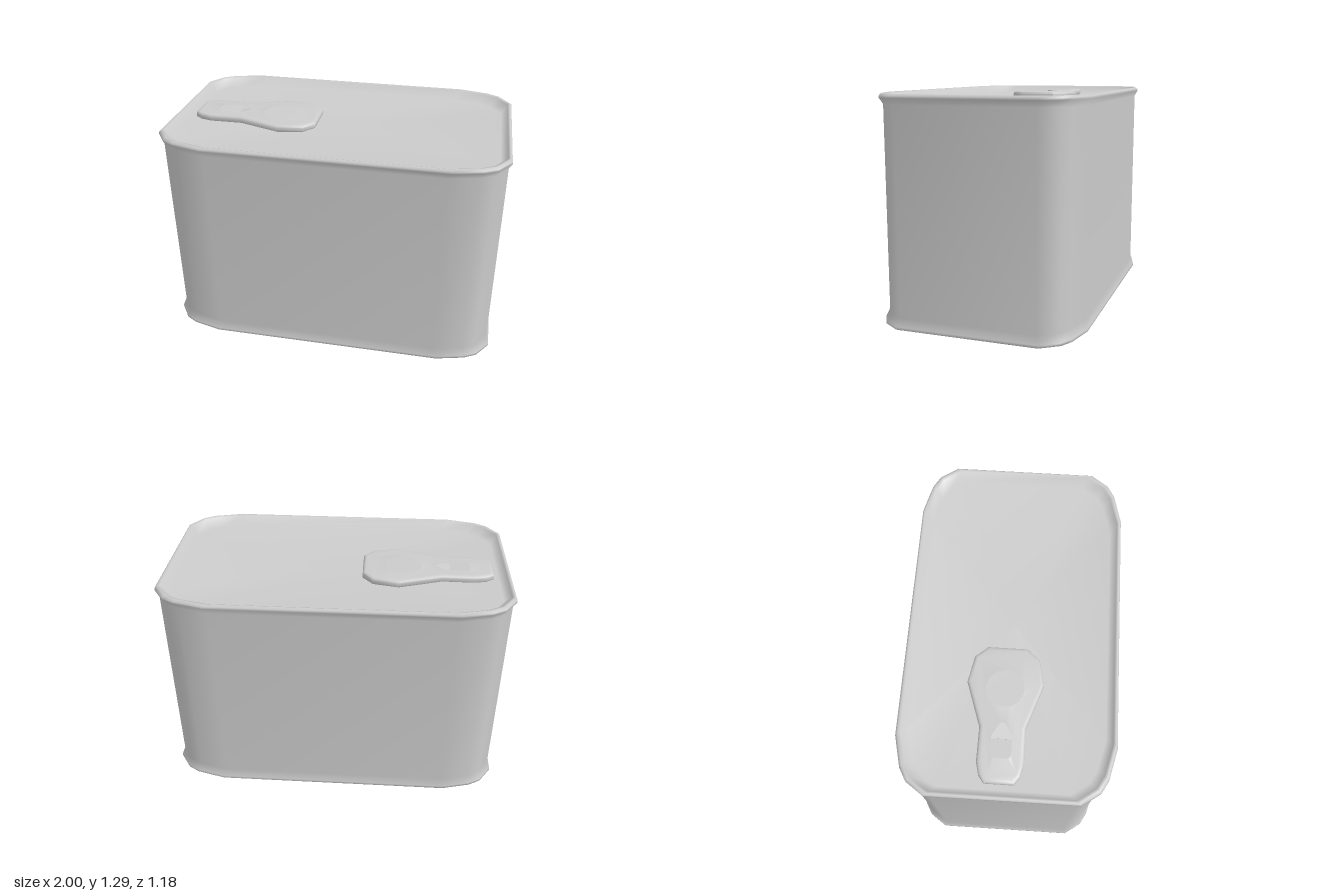
import * as THREE from 'three';
import { toCreasedNormals } from 'three/addons/utils/BufferGeometryUtils.js';

const grey = () => new THREE.MeshStandardMaterial({ color: 0xcccccc });

// One quarter of the can outline (x, z), mirrored into a closed loop
const QUARTER = [[1, 0.41], [0.93, 0.51], [0.86, 0.55], [0.69, 0.592]];
function canOutline() {
  const loop = [];
  for (const [sx, sz] of [[1, 1], [-1, 1], [-1, -1], [1, -1]]) {
    const q = sx * sz > 0 ? QUARTER : [...QUARTER].reverse();
    q.forEach(([x, z]) => loop.push([sx * x, sz * z]));
  }
  return loop;
}

// Stacks inset copies of the outline, [inset, y], and closes both ends
function canGeometry(rings) {
  const loop = canOutline(), n = loop.length;
  const pos = [], idx = [];
  for (const [d, y] of rings) {
    for (const [x, z] of loop) pos.push(x - Math.sign(x) * d, y, z - Math.sign(z) * d);
  }
  for (let r = 0; r < rings.length - 1; r++) {
    for (let i = 0; i < n; i++) {
      const j = (i + 1) % n, a = r * n + i, b = r * n + j;
      idx.push(a, a + n, b, b, a + n, b + n);
    }
  }
  const last = (rings.length - 1) * n, c = rings.length * n;
  pos.push(0, rings[0][1], 0, 0, rings[rings.length - 1][1], 0);
  for (let i = 0; i < n; i++) {
    const j = (i + 1) % n;
    idx.push(c, i, j, c + 1, last + j, last + i);
  }
  const g = new THREE.BufferGeometry();
  g.setAttribute('position', new THREE.Float32BufferAttribute(pos, 3));
  g.setIndex(idx);
  g.computeVertexNormals();
  return g;
}

// Half of the pull tab outline (x, half width)
const TAB = [[-0.91, 0.08], [-0.87, 0.11], [-0.8, 0.127], [-0.61, 0.125],
  [-0.36, 0.21], [-0.21, 0.18], [-0.15, 0.11]];

function tabGeometry() {
  const v = ([x, z]) => new THREE.Vector2(x, z);
  const mirror = (half) => [...half, ...[...half].reverse().map(([x, z]) => [x, -z])].map(v);
  const shape = new THREE.Shape(mirror(TAB));
  // Finger hole
  shape.holes.push(new THREE.Path().absarc(-0.39, 0, 0.127, 0, Math.PI * 2, true));
  // Rivet window, tapering towards the finger hole
  shape.holes.push(new THREE.Path(mirror([[-0.8, 0.045], [-0.785, 0.068],
    [-0.76, 0.078], [-0.65, 0.078], [-0.56, 0.025]])));
  const g = new THREE.ExtrudeGeometry(shape, {
    depth: 0.016, bevelThickness: 0.016, bevelSize: 0.022, bevelOffset: -0.022,
    bevelSegments: 3, curveSegments: 14,
  });
  g.rotateX(Math.PI / 2);
  return toCreasedNormals(g, 0.7);
}

export function createModel() {
  const group = new THREE.Group();
  const add = (name, geometry, x = 0, y = 0, z = 0) => {
    const mesh = new THREE.Mesh(geometry, grey());
    mesh.name = name;
    mesh.position.set(x, y, z);
    group.add(mesh);
    return mesh;
  };

  // Can with flared seams and recessed ends
  add('can', canGeometry([
    [0.055, 0.03], [0.025, 0.005], [0.01, 0], [0, 0.005], [0, 0.02], [0.017, 0.065],
    [0.017, 1.23], [0, 1.265], [0.002, 1.278], [0.012, 1.288], [0.025, 1.283], [0.06, 1.232],
  ]));

  // Pull tab lying on the lid
  add('pullTab', tabGeometry(), 0, 1.254, -0.025);

  // Sloping web between the rivet window and the finger hole
  const web = add('tabWeb', new THREE.BoxGeometry(0.15, 0.008, 0.16), -0.59, 1.245, -0.025);
  web.rotation.z = 0.15;

  return group;
}
